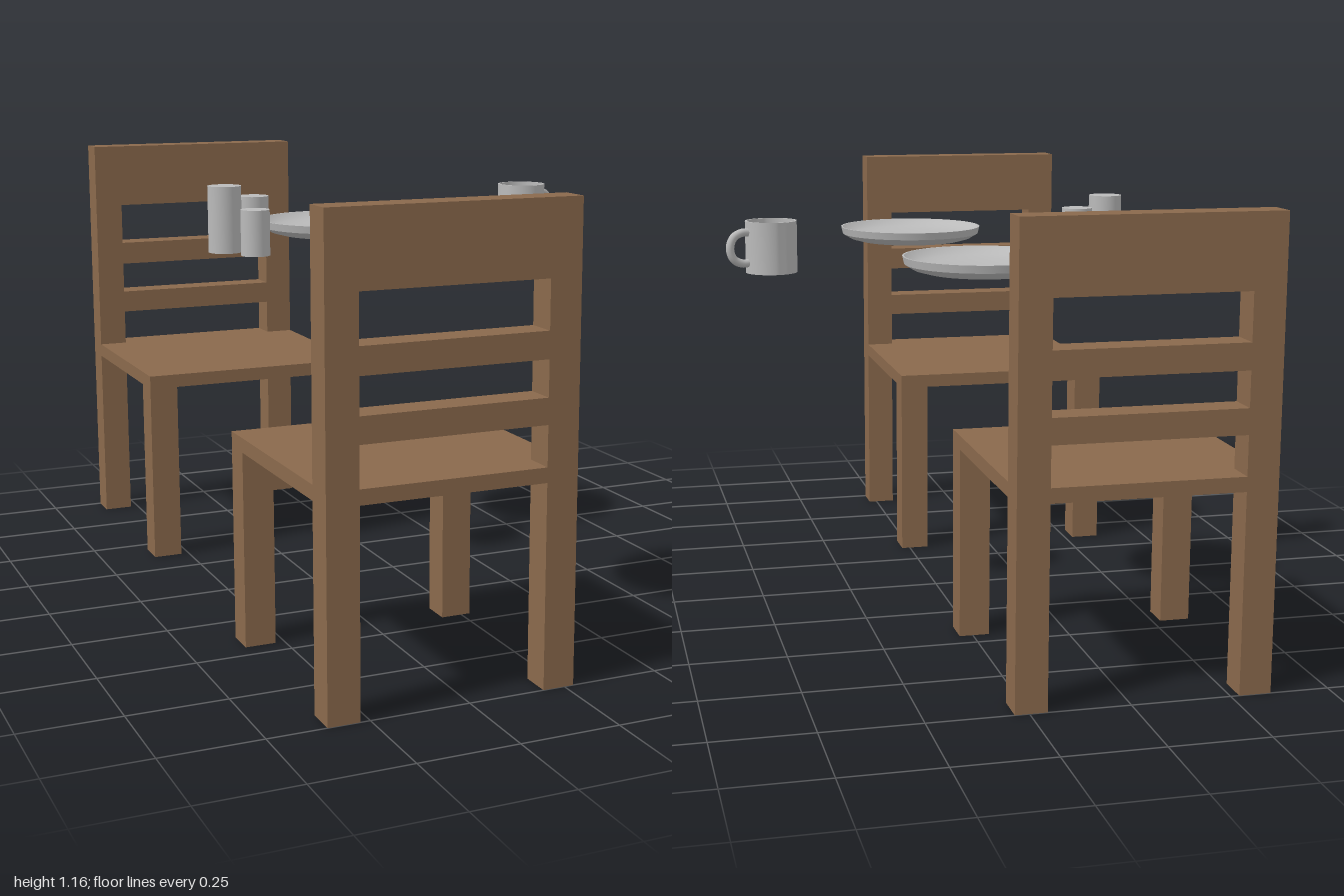
import * as THREE from 'three';
import { toCreasedNormals } from 'three/addons/utils/BufferGeometryUtils.js';

const wood = new THREE.MeshStandardMaterial({ color: 0x8a694c });
wood.name = 'brown wood';
const ceramic = new THREE.MeshStandardMaterial({ color: 0xbababa });
ceramic.name = 'grey ceramic';

function addMesh(parent, name, geometry, material, x = 0, y = 0, z = 0) {
  const mesh = new THREE.Mesh(geometry, material);
  mesh.name = name;
  mesh.position.set(x, y, z);
  parent.add(mesh);
  return mesh;
}

const points = (list) => list.map(([x, y]) => new THREE.Vector2(x, y));

// Surface of revolution, smooth except at sharp rims
function turned(profile, segments = 48) {
  return toCreasedNormals(new THREE.LatheGeometry(points(profile), segments), 0.6);
}

// Chair with its back at z = -1, seat reaching to z = -0.365
function makeChair(name, width) {
  const chair = new THREE.Group();
  chair.name = name;
  const w = width / 2, leg = 0.08, top = 1.163;
  const seatTop = 0.542, seatBottom = 0.505, front = -0.367;

  // Back frame: rear legs, slats and top rail in one slotted panel
  const shape = new THREE.Shape(points([
    [-w, 0], [-w + leg, 0], [-w + leg, seatBottom], [w - leg, seatBottom],
    [w - leg, 0], [w, 0], [w, top], [-w, top],
  ]));
  for (const [low, high] of [[seatTop, 0.642], [0.706, 0.795], [0.861, 0.98]]) {
    shape.holes.push(new THREE.Path(points([
      [-w + leg, low], [-w + leg, high], [w - leg, high], [w - leg, low],
    ])));
  }
  const frame = new THREE.ExtrudeGeometry(shape, { depth: leg, bevelEnabled: false });
  addMesh(chair, 'backFrame', frame, wood, 0, 0, -1);

  // Seat board and front legs
  const depth = front + 1 - leg;
  addMesh(chair, 'seat', new THREE.BoxGeometry(width, seatTop - seatBottom, depth), wood,
    0, (seatTop + seatBottom) / 2, front - depth / 2);
  for (const side of [-1, 1]) {
    addMesh(chair, side > 0 ? 'leftFrontLeg' : 'rightFrontLeg',
      new THREE.BoxGeometry(leg, seatBottom, leg), wood,
      side * (w - leg / 2), seatBottom / 2, front - leg / 2);
  }
  return chair;
}

function makeMug() {
  const mug = new THREE.Group();
  mug.name = 'mug';
  // Hollow body
  addMesh(mug, 'mugBody', turned([
    [0, 0], [0.068, 0], [0.068, 0.136], [0.062, 0.136], [0.062, 0.008], [0, 0.008],
  ]), ceramic);
  // Curved handle
  const path = new THREE.CatmullRomCurve3([
    [0.063, 0.108], [0.085, 0.108], [0.108, 0.096], [0.118, 0.068],
    [0.108, 0.04], [0.085, 0.028], [0.063, 0.028],
  ].map(([x, y]) => new THREE.Vector3(x, y, 0)));
  addMesh(mug, 'mugHandle', new THREE.TubeGeometry(path, 28, 0.011, 12), ceramic);
  return mug;
}

export function createModel() {
  const model = new THREE.Group();
  model.name = 'diningSet';

  // Two chairs facing each other
  const backChair = makeChair('backChair', 0.638);
  backChair.position.x = -0.283;
  const frontChair = makeChair('frontChair', 0.628);
  frontChair.position.x = -0.29;
  frontChair.rotation.y = Math.PI;
  model.add(backChair, frontChair);

  // Shallow plates
  const plate = turned([
    [0, 0], [0.155, 0], [0.185, 0.008], [0.208, 0.022], [0.213, 0.043], [0.208, 0.043],
    [0.196, 0.032], [0.175, 0.023], [0.145, 0.017], [0, 0.012],
  ], 64);
  addMesh(model, 'backPlate', plate, ceramic, -0.067, 0.942, -0.268);
  addMesh(model, 'frontPlate', plate, ceramic, -0.042, 0.934, 0.547);

  // Three small shakers of different heights
  const shakers = [
    ['tallShaker', -0.477, -0.037, 0.045, 0.937, 1.115],
    ['middleShaker', -0.39, -0.055, 0.042, 0.937, 1.083],
    ['shortShaker', -0.413, 0.026, 0.039, 0.932, 1.055],
  ];
  for (const [name, x, z, r, low, high] of shakers) {
    addMesh(model, name, new THREE.CylinderGeometry(r, r, high - low, 32), ceramic,
      x, (low + high) / 2, z);
  }

  // Mug with its handle turned slightly to the back
  const mug = makeMug();
  mug.position.set(0.476, 0.94, -0.14);
  mug.rotation.y = 0.31;
  model.add(mug);

  return model;
}
